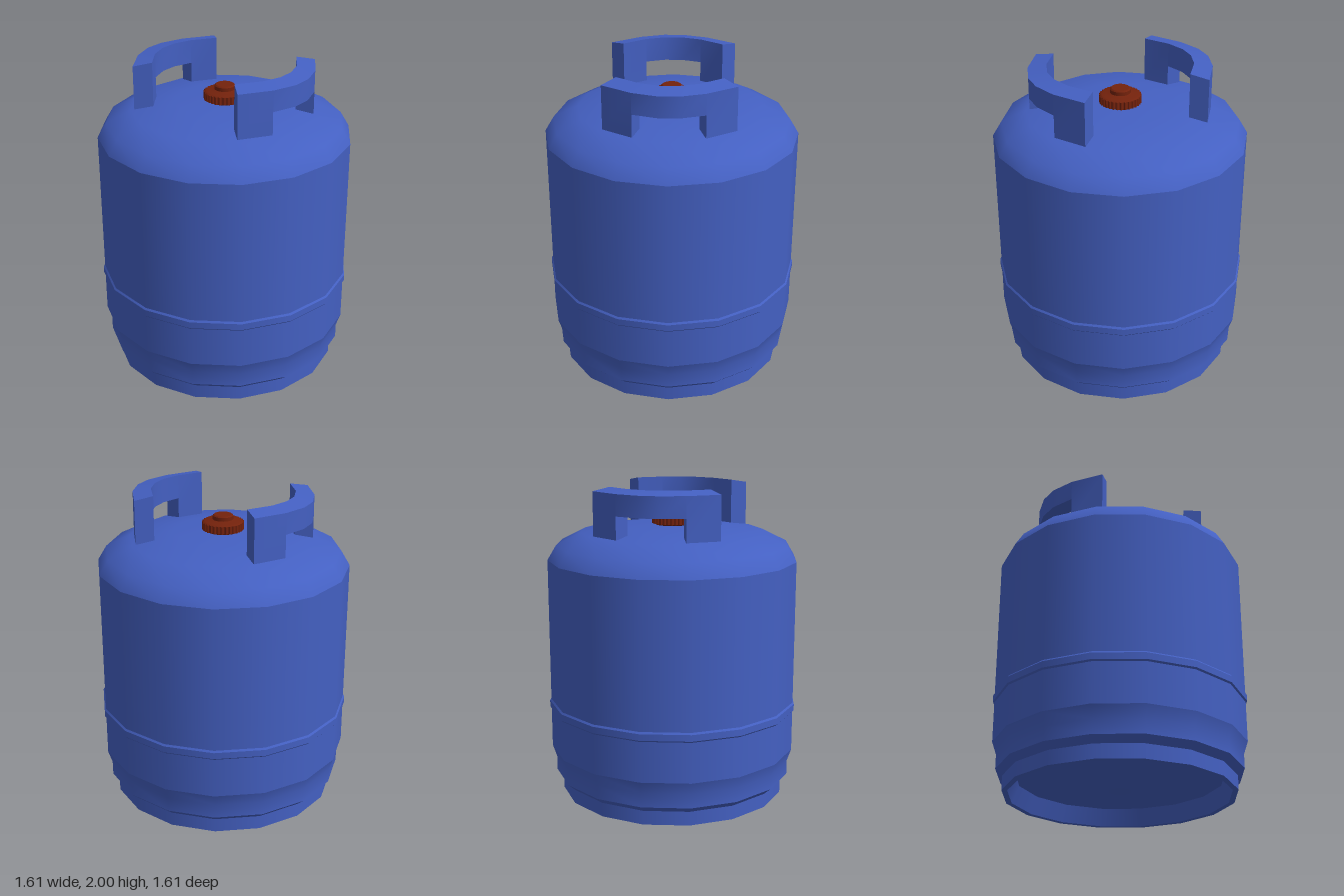
import * as THREE from 'three';
import { toCreasedNormals } from 'three/addons/utils/BufferGeometryUtils.js';

const blue = new THREE.MeshStandardMaterial({ color: 0x4460c2 });
blue.name = 'blue paint';
const rust = new THREE.MeshStandardMaterial({ color: 0x74220c });
rust.name = 'rust red valve';

function addMesh(parent, name, geometry, material) {
  const mesh = new THREE.Mesh(geometry, material);
  mesh.name = name;
  parent.add(mesh);
  return mesh;
}

// Smooth surface of revolution; separate lathes meet in sharp edges
function lathe(parent, name, profile, material, sides = 16) {
  const points = profile.map(([r, y]) => new THREE.Vector2(r, y));
  return addMesh(parent, name, new THREE.LatheGeometry(points, sides), material);
}

// One lathe per profile segment, so every ring is a sharp edge
function sharpLathe(parent, name, profile, material, sides) {
  const group = new THREE.Group();
  group.name = name;
  for (let i = 0; i < profile.length - 1; i++) {
    lathe(group, name + 'Face' + (i + 1), [profile[i], profile[i + 1]], material, sides);
  }
  parent.add(group);
}

// Curved guard handle: an arched strip on two legs
function handleGeometry() {
  const half = [
    [0.397, 0.397, 0.312, 0.315],
    [0.517, 0.215, 0.41, 0.175],
    [0.567, 0.065, 0.45, 0.055],
  ];
  const stations = [...half, ...half.slice().reverse().map(([ox, oz, ix, iz]) => [ox, -oz, ix, -iz])];
  const foot = 1.705, arch = 1.848, topOuter = 1.98, topInner = 2.0;
  const positions = [];
  const quad = (a, b, c, d) => positions.push(...a, ...b, ...c, ...a, ...c, ...d);
  const outer = (s, y) => [s[0], y, s[1]];
  const inner = (s, y) => [s[2], y, s[3]];

  for (let i = 0; i < 5; i++) {
    const a = stations[i], b = stations[i + 1];
    const low = i === 0 || i === 4 ? foot : arch;
    quad(outer(a, low), outer(b, low), outer(b, topOuter), outer(a, topOuter));
    quad(inner(b, low), inner(a, low), inner(a, topInner), inner(b, topInner));
    quad(outer(a, topOuter), outer(b, topOuter), inner(b, topInner), inner(a, topInner));
    quad(inner(a, low), inner(b, low), outer(b, low), outer(a, low));
  }
  // End caps and the inner sides of the legs
  const cap = (s, yo, yi, flip) => {
    const c = [inner(s, foot), outer(s, foot), outer(s, yo), inner(s, yi)];
    quad(...(flip ? c.reverse() : c));
  };
  cap(stations[0], topOuter, topInner, false);
  cap(stations[1], arch, arch, true);
  cap(stations[4], arch, arch, false);
  cap(stations[5], topOuter, topInner, true);

  const geometry = new THREE.BufferGeometry();
  geometry.setAttribute('position', new THREE.Float32BufferAttribute(positions, 3));
  geometry.computeVertexNormals();
  return toCreasedNormals(geometry, Math.PI / 6);
}

// Knurled rim of the valve wheel
function knurlGeometry(teeth, rOut, rIn, height) {
  const shape = new THREE.Shape();
  for (let i = 0; i < teeth * 4; i++) {
    const r = i % 4 < 2 ? rOut : rIn;
    const t = (i / (teeth * 4)) * Math.PI * 2;
    if (i === 0) shape.moveTo(r, 0);
    else shape.lineTo(r * Math.cos(t), r * Math.sin(t));
  }
  const geometry = new THREE.ExtrudeGeometry(shape, { depth: height, bevelEnabled: false });
  return geometry.rotateX(-Math.PI / 2);
}

export function createModel() {
  const model = new THREE.Group();
  model.name = 'gasBottle';

  // Base: gently bulging floor inside the tapered foot ring
  lathe(model, 'floor', [[0, 0.025], [0.33, 0.055], [0.645, 0.108]], blue);
  sharpLathe(model, 'footRing', [[0.645, 0.108], [0.69, 0], [0.725, 0], [0.725, 0.09], [0.768, 0.13]], blue);

  // Tank shell
  lathe(model, 'lowerShell', [[0.768, 0.13], [0.768, 0.22], [0.795, 0.3]], blue);
  lathe(model, 'wall', [[0.795, 0.3], [0.795, 1.53]], blue);
  lathe(model, 'dome', [[0.795, 1.53], [0.74, 1.622], [0.585, 1.7], [0.31, 1.74], [0, 1.745]], blue);

  // Weld band around the tank
  sharpLathe(model, 'band', [[0.788, 0.55], [0.804, 0.567], [0.804, 0.608], [0.788, 0.628]], blue);

  // Handles on both sides
  const handle = handleGeometry();
  addMesh(model, 'leftHandle', handle, blue);
  addMesh(model, 'rightHandle', handle, blue).rotation.y = Math.PI;

  // Valve: knurled wheel with rounded edges, and a knob
  const valve = new THREE.Group();
  valve.name = 'valve';
  lathe(valve, 'wheelBottom', [[0.105, 1.742], [0.124, 1.752]], rust, 32);
  addMesh(valve, 'wheel', knurlGeometry(32, 0.131, 0.124, 0.048), rust).position.y = 1.752;
  lathe(valve, 'wheelTop', [[0.124, 1.8], [0.115, 1.807], [0.09, 1.808], [0.064, 1.815]], rust, 32);
  sharpLathe(valve, 'knob', [[0.064, 1.81], [0.064, 1.838], [0.056, 1.845], [0, 1.845]], rust, 24);
  model.add(valve);

  return model;
}
